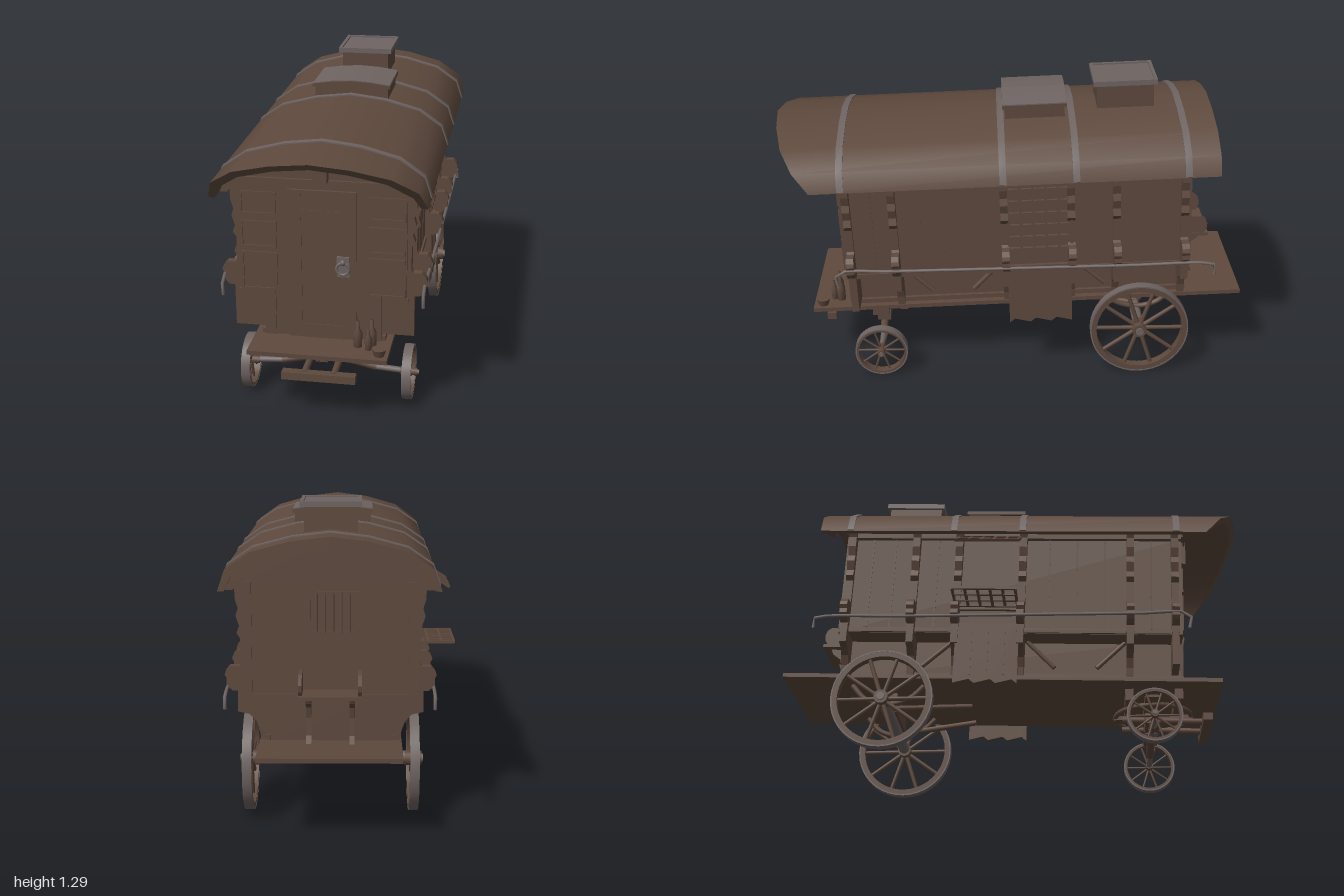
import * as THREE from 'three';
import { toCreasedNormals } from 'three/addons/utils/BufferGeometryUtils.js';

const wood = new THREE.MeshStandardMaterial({ color: 0x5e493d, name: 'brownWood' });
const metal = new THREE.MeshStandardMaterial({ color: 0x6e6462, name: 'greyMetal' });

function add(parent, name, geo, mat = wood, x = 0, y = 0, z = 0) {
  const m = new THREE.Mesh(geo, mat);
  m.name = name;
  m.position.set(x, y, z);
  parent.add(m);
  return m;
}
const box = (p, name, w, h, d, x, y, z, mat = wood) => add(p, name, new THREE.BoxGeometry(w, h, d), mat, x, y, z);
const group = (p, name) => { const g = new THREE.Group(); g.name = name; p.add(g); return g; };

// Straight round bar between two points
function rod(p, name, a, b, r, mat = wood, r2 = r) {
  const va = new THREE.Vector3(...a), vb = new THREE.Vector3(...b), d = vb.clone().sub(va);
  const m = add(p, name, new THREE.CylinderGeometry(r2, r, d.length(), 10), mat);
  m.position.copy(va).lerp(vb, 0.5);
  m.quaternion.setFromUnitVectors(new THREE.Vector3(0, 1, 0), d.normalize());
  return m;
}
const tube = (p, name, pts, r, mat = wood) => add(p, name, new THREE.TubeGeometry(
  new THREE.CatmullRomCurve3(pts.map(q => new THREE.Vector3(...q))), 32, r, 8), mat);
// Outline extruded equally to both sides of its plane
function slab(pts, depth) {
  const s = new THREE.Shape(pts.map(q => new THREE.Vector2(...q)));
  return new THREE.ExtrudeGeometry(s, { depth, bevelEnabled: false }).translate(0, 0, -depth / 2);
}
// Outline given as (z, y), thick along x
const sideSlab = (pts, depth) => slab(pts, depth).rotateY(-Math.PI / 2);

// Half section of the roof, eave to ridge
const EAVE = 0.947;
const HALF = [[0.425, EAVE], [0.397, 1.03], [0.3, 1.096], [0.15, 1.136], [0, 1.154]];
const arch = (k, dy) => {
  const r = HALF.map(([x, y]) => [x * k, Math.max(y + dy, EAVE)]);
  return [...r, ...r.slice(0, -1).reverse().map(([x, y]) => [-x, y])];
};
const shell = (k1, d1, k2, d2) => [...arch(k1, d1), ...arch(k2, d2).reverse()];

function buildRoof(body) {
  const g = slab(shell(1, 0, 0.94, -0.026), 1);
  const p = g.attributes.position;
  for (let i = 0; i < p.count; i++) p.setZ(i, p.getZ(i) < 0 ? -0.885 : 0.955 - (1.154 - p.getY(i)) * 0.78);
  add(body, 'roof', toCreasedNormals(g, 0.7));
  add(body, 'rearRoofRim', slab(shell(0.96, -0.02, 0.87, -0.055), 0.03), wood, 0, 0, -0.84);
  add(body, 'frontRoofRim', slab(shell(0.95, -0.022, 0.87, -0.055), 0.03), wood, 0, 0, 0.71);
  for (const z of [0.665, 0.003, -0.296, -0.752])
    add(body, 'roofBand', toCreasedNormals(slab(shell(1.006, 0.005, 0.99, -0.008), 0.028), 0.7), metal, 0, 0, z);

  // Wide arched skylight
  const lid = (w, y, h) => [[-w, y], [w, y], [w, y + h], [w * 0.5, y + h + 0.012], [0, y + h + 0.017], [-w * 0.5, y + h + 0.012], [-w, y + h]];
  add(body, 'skylightBox', slab(lid(0.16, 1.1, 0.085), 0.25), wood, 0, 0, -0.142);
  add(body, 'skylightLid', slab(lid(0.17, 1.18, 0.014), 0.27), wood, 0, 0, -0.142);
  add(body, 'skylightCover', slab(lid(0.168, 1.19, 0.008), 0.268), metal, 0, 0, -0.142);
  // Tall square roof vent
  box(body, 'ventBox', 0.212, 0.13, 0.24, 0, 1.185, -0.527);
  box(body, 'ventLid', 0.23, 0.014, 0.255, 0, 1.25, -0.527, metal);
  for (const s of [-1, 1]) {
    box(body, 'ventLidRim', 0.014, 0.022, 0.268, s * 0.115, 1.253, -0.527, metal);
    box(body, 'ventLidRim', 0.24, 0.022, 0.014, 0, 1.253, -0.527 + s * 0.127, metal);
  }
}

// Lattice standing on its own origin, flat in the z-y plane
function lattice(p, w, h, rows, cols) {
  const g = group(p, 'latticeShutter');
  for (let i = 0; i <= rows; i++) box(g, 'latticeBar', 0.012, 0.011, w, 0, (i * h) / rows, 0);
  for (let i = 0; i <= cols; i++) box(g, 'latticeBar', 0.011, h, 0.011, 0, h / 2, -w / 2 + (i * w) / cols);
  return g;
}

const W = 0.335; // half width of the upper wall

function buildSides(body) {
  const post = slab([[0.33, 0.5], [0.365, 0.5], [0.365, 0.62], [0.352, 0.64], [0.352, 0.74], [0.366, 0.76], [0.356, 0.79], [0.369, 0.83],
    [0.36, 0.86], [0.372, 0.9], [0.372, 0.945], [0.385, 0.975], [0.33, 0.975]], 0.032);
  const corbel = slab([[0.35, 0.53], [0.385, 0.53], [0.4, 0.545], [0.41, 0.56], [0.408, 0.58], [0.416, 0.595], [0.41, 0.612],
    [0.395, 0.63], [0.35, 0.63]], 0.032);
  const bracket = slab([[0.235, 0.33], [0.275, 0.33], [0.28, 0.37], [0.295, 0.41], [0.32, 0.435], [0.365, 0.445], [0.365, 0.505], [0.235, 0.505]], 0.03);
  const cornerBracket = slab([[0.235, 0.355], [0.365, 0.355], [0.365, 0.505], [0.235, 0.505]], 0.03);
  const half = Math.PI;
  for (const s of [-1, 1]) {
    const side = group(body, s > 0 ? 'leftSide' : 'rightSide');
    for (const z of [0.66, 0.47, 0.005, -0.275, -0.465, -0.75])
      for (const [n, g] of [['sidePost', post], ['railCorbel', corbel], ['ledgeBracket', z > 0.6 ? cornerBracket : bracket]])
        add(side, n, g, wood, 0, 0, z).rotation.y = s > 0 ? 0 : half;
    box(side, 'ledgeMoulding', 0.016, 0.02, 1.462, s * W, 0.512, -0.041);
    box(side, 'eaveMoulding', 0.025, 0.03, 1.462, s * 0.342, 0.965, -0.041);
    box(side, 'floorMoulding', 0.015, 0.02, 1.462, s * 0.245, 0.34, -0.041);
    // Hanging rail with a hook at each end
    tube(side, 'sideRail', [[0.5, 0.715], [0.55, 0.724], [0.572, 0.705], [0.567, 0.5], [0.558, 0.1], [0.545, -0.5], [0.537, -0.855], [0.523, -0.88], [0.485, -0.872]]
      .map(q => [s * 0.405, ...q]), 0.007, metal);
    // Diagonal braces below the ledge
    for (const [a, b] of [[0.03, 0.15], [-0.29, -0.42], [0.45, 0.33]])
      rod(side, 'diagonalBrace', [s * 0.25, 0.5, a], [s * 0.25, 0.38, b], 0.01);
    // Hanging boards with a ragged lower edge
    const rag = [[-0.27, 0.54], [0.0, 0.54]];
    for (let i = 0; i <= 12; i++) rag.push([-i * 0.0225, 0.262 + 0.006 * ((i * 7) % 4)]);
    add(side, 'hangingBoards', sideSlab(rag, 0.016), wood, s * 0.35, 0, 0);
    for (const z of [-0.06, -0.13, -0.2]) box(side, 'boardSeam', 0.004, 0.2, 0.006, s * 0.359, 0.4, z);
    // Window surround
    for (const z of [0, -0.285]) box(side, 'windowJamb', 0.016, 0.35, 0.014, s * 0.34, 0.785, z);
    for (const y of [0.612, 0.955]) box(side, 'windowRail', 0.02, 0.014, 0.29, s * 0.34, y, -0.143);
    for (const z of [0.56, 0.36, 0.24, 0.12, -0.37, -0.56, -0.66]) box(side, 'plankSeam', 0.005, 0.43, 0.006, s * W, 0.74, z);
  }
  lattice(body, 0.265, 0.33, 6, 5).position.set(0.35, 0.617, -0.143);
  const low = lattice(body, 0.265, 0.165, 3, 5), high = lattice(body, 0.265, 0.165, 3, 5);
  low.position.set(-0.355, 0.622, -0.143);
  low.rotation.z = Math.PI / 2;
  high.position.set(-0.355, 0.955, -0.143);
  high.rotation.z = 2.15;
}

function frame(p, name, w, h, x, y, z, t) {
  for (const s of [-1, 1]) {
    box(p, name, t, h, 0.012, x + s * (w - t) / 2, y, z);
    box(p, name, w - 2 * t, t, 0.012, x, y + s * (h - t) / 2, z);
  }
}

function buildFront(body) {
  const F = 0.69;
  box(body, 'door', 0.276, 0.63, 0.012, 0, 0.647, F + 0.003);
  for (const x of [-0.11, 0.11]) box(body, 'doorStile', 0.055, 0.63, 0.012, x, 0.647, F + 0.007);
  for (const [y, h] of [[0.36, 0.06], [0.865, 0.03], [0.945, 0.034]]) box(body, 'doorRail', 0.165, h, 0.012, 0, y, F + 0.006);
  box(body, 'lockPlate', 0.05, 0.085, 0.012, 0.085, 0.65, F + 0.014, metal);
  add(body, 'doorRing', new THREE.TorusGeometry(0.025, 0.006, 8, 20), metal, 0.085, 0.645, F + 0.026);
  add(body, 'doorKnob', new THREE.SphereGeometry(0.012, 12, 8), metal, 0.085, 0.672, F + 0.026);
  for (const s of [-1, 1]) {
    for (const [y, h] of [[0.895, 0.098], [0.763, 0.114], [0.606, 0.165]]) frame(body, 'wallPanel', 0.147, h, s * 0.257, y, F, 0.01);
    box(body, 'lowerDoorPost', 0.045, 0.2, 0.014, s * 0.215, 0.43, F);
  }
  box(body, 'lintel', 0.66, 0.03, 0.016, 0, 0.99, F + 0.004);
  box(body, 'archBlock', 0.055, 0.12, 0.04, 0, 1.062, F + 0.02);
  // Bottles and bowl on the front step
  const bottle = [[0, 0], [0.017, 0], [0.018, 0.06], [0.008, 0.08], [0.007, 0.11], [0, 0.11]].map(q => new THREE.Vector2(...q));
  for (const [x, z, k] of [[0.15, 0.75, 1], [0.205, 0.74, 1.05], [0.195, 0.77, 0.8]])
    add(body, 'bottle', new THREE.LatheGeometry(bottle, 14), wood, x, 0.33, z).scale.setScalar(k);
  add(body, 'bowl', new THREE.CylinderGeometry(0.03, 0.02, 0.03, 14), wood, 0.245, 0.345, 0.815);
}

function buildBack(body) {
  const B = -0.772;
  frame(body, 'backWindowFrame', 0.2, 0.17, -0.01, 0.845, B - 0.004, 0.014);
  for (let i = -2; i <= 2; i++) rod(body, 'windowBar', [i * 0.032 - 0.01, 0.765, B - 0.006], [i * 0.032 - 0.01, 0.925, B - 0.006], 0.006);
  box(body, 'backBeam', 0.67, 0.02, 0.016, 0, 0.51, B);
  for (const s of [-1, 1]) box(body, 'backCornerPost', 0.03, 0.45, 0.016, s * 0.322, 0.74, B);
  // Rear bench
  box(body, 'benchSeat', 0.25, 0.014, 0.12, 0, 0.53, B - 0.06);
  for (const s of [-1, 1]) {
    add(body, 'benchEnd', sideSlab([[B, 0.53], [B, 0.617], [-0.862, 0.617], [-0.88, 0.604], [-0.888, 0.58], [-0.885, 0.555], [-0.87, 0.53]], 0.014), wood, s * 0.115);
    add(body, 'benchBracket', sideSlab([[B, 0.33], [B, 0.525], [-0.86, 0.525], [-0.85, 0.5], [-0.815, 0.475], [-0.805, 0.43], [-0.81, 0.36], [-0.825, 0.33]], 0.02), wood, s * 0.085);
  }
}

// Spoked wheel whose axle lies along x
function wheel(p, name, R, x, y, z, spokes) {
  const g = group(p, name);
  const ring = (a, b, w) => new THREE.LatheGeometry([[a, -w], [b, -w], [b, w], [a, w], [a, -w]].map(q => new THREE.Vector2(...q)), 40).rotateZ(Math.PI / 2);
  add(g, 'rim', toCreasedNormals(ring(R * 0.87, R - 0.005, 0.018), 0.6));
  add(g, 'tyre', toCreasedNormals(ring(R - 0.006, R, 0.019), 0.6), metal);
  add(g, 'hub', new THREE.CylinderGeometry(R * 0.14, R * 0.14, 0.07, 16).rotateZ(Math.PI / 2));
  add(g, 'hubCap', new THREE.CylinderGeometry(R * 0.08, R * 0.08, 0.085, 12).rotateZ(Math.PI / 2), metal);
  for (let i = 0; i < spokes; i++) {
    const a = ((i + 0.5) / spokes) * Math.PI * 2, c = Math.cos(a), s = Math.sin(a);
    rod(g, 'spoke', [0, c * R * 0.1, s * R * 0.1], [0, c * R * 0.9, s * R * 0.9], R * 0.045, wood, R * 0.04);
  }
  g.position.set(x, y, z);
}

function buildChassis(p) {
  for (const s of [-1, 1]) {
    wheel(p, 'rearWheel', 0.215, s * 0.335, 0.215, -0.555, 10);
    wheel(p, 'frontWheel', 0.115, s * 0.335, 0.115, 0.575, 10);
    rod(p, 'frontAxleArm', [s * 0.34, 0.115, 0.575], [s * 0.19, 0.125, 0.575], 0.013, metal);
    rod(p, 'frontAxleBeam', [s * 0.2, 0.125, 0.575], [s * 0.06, 0.155, 0.575], 0.017);
    rod(p, 'drawArm', [s * 0.06, 0.2, 0.45], [s * 0.06, 0.185, 0.81], 0.014);
    tube(p, 'rearLeafSpring', [[s * 0.2, 0.325, -0.4], [s * 0.2, 0.27, -0.46], [s * 0.2, 0.245, -0.555], [s * 0.2, 0.27, -0.65], [s * 0.2, 0.335, -0.71]], 0.012);
    rod(p, 'rearStay', [s * 0.1, 0.265, -0.2], [s * 0.16, 0.24, -0.555], 0.012);
  }
  rod(p, 'rearAxle', [-0.33, 0.22, -0.555], [0.33, 0.22, -0.555], 0.024, metal);
  box(p, 'rearAxleBlock', 0.26, 0.09, 0.06, 0, 0.28, -0.555);
  box(p, 'frontAxleBlock', 0.29, 0.045, 0.06, 0, 0.177, 0.575);
  box(p, 'drawBar', 0.3, 0.032, 0.04, 0, 0.178, 0.81);
  // Turntable under the front of the body
  add(p, 'turntableRing', new THREE.TorusGeometry(0.165, 0.011, 8, 36).rotateX(Math.PI / 2), wood, 0, 0.23, 0.585);
  box(p, 'turntableBar', 0.05, 0.02, 0.34, 0, 0.225, 0.585);
  box(p, 'turntableBeam', 0.48, 0.035, 0.07, 0, 0.252, 0.58);
  add(p, 'kingPin', new THREE.CylinderGeometry(0.03, 0.03, 0.14, 14), metal, 0, 0.22, 0.575);
  for (const z of [0.48, 0.69]) box(p, 'bolster', 0.4, 0.05, 0.035, 0, 0.265, z);
}

export function createModel() {
  const model = new THREE.Group();
  model.name = 'wagon';
  const wagon = group(model, 'wagonCentre');
  wagon.position.x = 0.045;
  // The body rises slightly towards the rear
  const body = group(wagon, 'body');
  body.rotation.x = 0.039;
  box(body, 'floor', 0.56, 0.018, 1.869, 0, 0.321, -0.0775);
  box(body, 'lowerBody', 0.47, 0.2, 1.462, 0, 0.425, -0.041);
  const wall = [[-W, 0.5], [W, 0.5], ...arch(0.86, -0.02)];
  wall[2] = [W, 0.96];
  wall[wall.length - 1] = [-W, 0.96];
  add(body, 'upperBody', slab(wall, 1.462), wood, 0, 0, -0.041);
  buildRoof(body);
  buildSides(body);
  buildFront(body);
  buildBack(body);
  buildChassis(wagon);
  return model;
}
